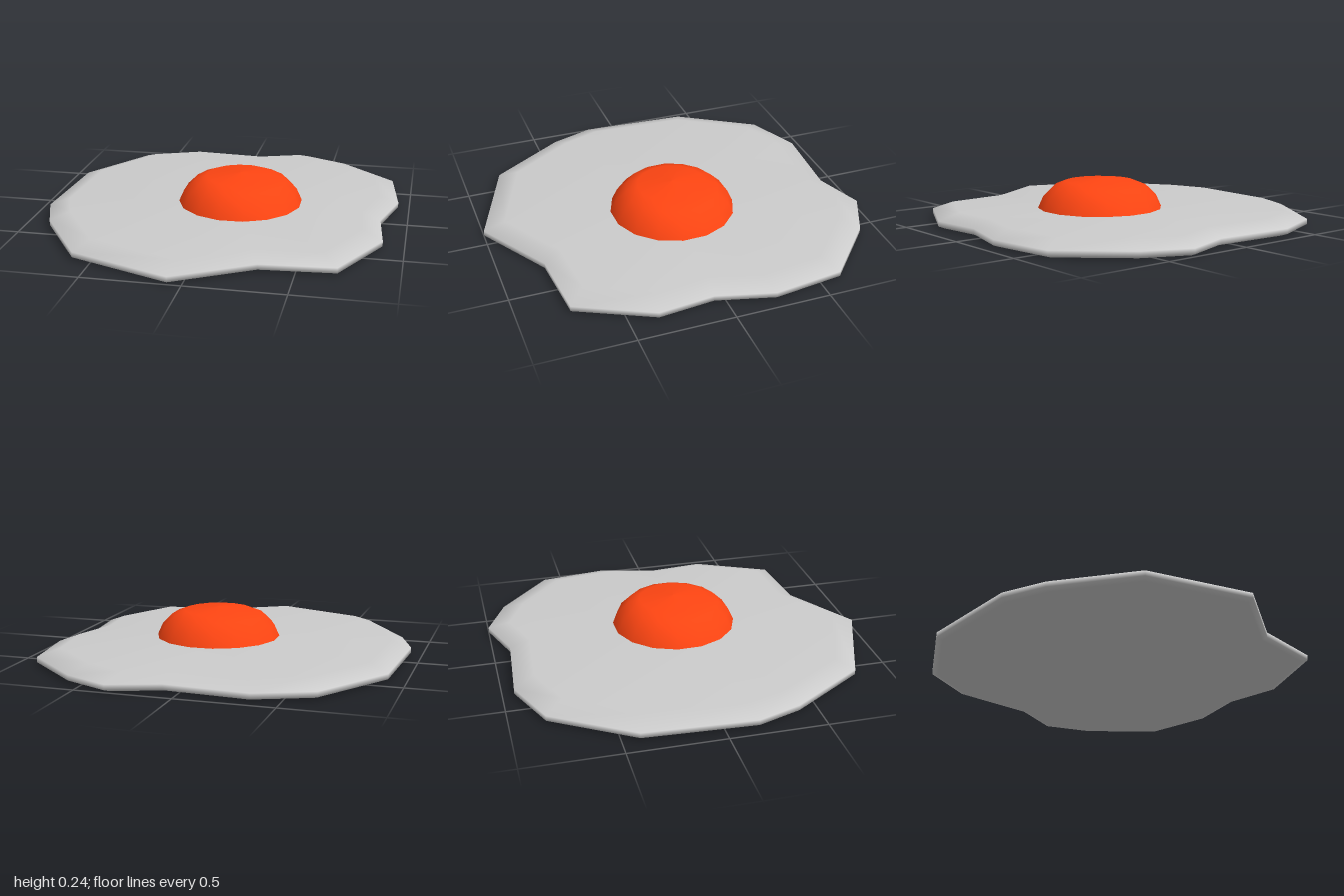
import * as THREE from 'three';

// Wavy rim of the egg white, [x, z], clockwise seen from below
const OUTLINE = [
  [0.34, -1.0], [0.58, -0.89], [0.89, -0.61], [0.94, -0.24],
  [0.86, 0.06], [0.89, 0.355], [0.7, 0.74], [0.32, 0.77],
  [-0.07, 1.0], [-0.6, 0.8], [-0.86, 0.4], [-0.94, 0.17],
  [-0.91, -0.41], [-0.65, -0.82], [-0.36, -0.94], [0.08, -0.91],
];

// Cross-section of the white from underside to top: [scale of outline, y]
const RINGS = [[0.965, 0], [1, 0.012], [1, 0.04], [0.885, 0.08]];

function eggWhiteGeometry() {
  const n = OUTLINE.length;
  const positions = [];
  const index = [];
  for (const [s, y] of RINGS) {
    for (const [x, z] of OUTLINE) positions.push(x * s, y, z * s);
  }
  // Bands between neighbouring rings
  for (let r = 0; r < RINGS.length - 1; r++) {
    for (let i = 0; i < n; i++) {
      const j = (i + 1) % n;
      const a = r * n + i, b = r * n + j;
      index.push(a, a + n, b, b, a + n, b + n);
    }
  }
  // Fans closing the underside and the top
  const bottom = positions.length / 3;
  const top = bottom + 1;
  positions.push(0, 0, 0, 0.09, 0.08, 0);
  const last = (RINGS.length - 1) * n;
  for (let i = 0; i < n; i++) {
    const j = (i + 1) % n;
    index.push(bottom, i, j);
    index.push(top, last + j, last + i);
  }
  const geometry = new THREE.BufferGeometry();
  geometry.setAttribute('position', new THREE.Float32BufferAttribute(positions, 3));
  geometry.setIndex(index);
  geometry.computeVertexNormals();
  return geometry;
}

export function createModel() {
  const model = new THREE.Group();
  model.name = 'friedEgg';

  // Flat white with a bevelled, irregular rim
  const white = new THREE.Mesh(
    eggWhiteGeometry(),
    new THREE.MeshStandardMaterial({ color: 0xcccccc })
  );
  white.name = 'eggWhite';
  model.add(white);

  // Sixteen-sided domed yolk, set off-centre
  const profile = [[0.34, 0.07], [0.335, 0.08], [0.307, 0.142], [0.25, 0.198], [0.187, 0.223], [0, 0.24]]
    .map(([r, y]) => new THREE.Vector2(r, y));
  const yolk = new THREE.Mesh(
    new THREE.LatheGeometry(profile, 16, THREE.MathUtils.degToRad(12.5)),
    new THREE.MeshStandardMaterial({ color: 0xff4512 })
  );
  yolk.name = 'yolk';
  yolk.position.x = 0.095;
  model.add(yolk);

  return model;
}
